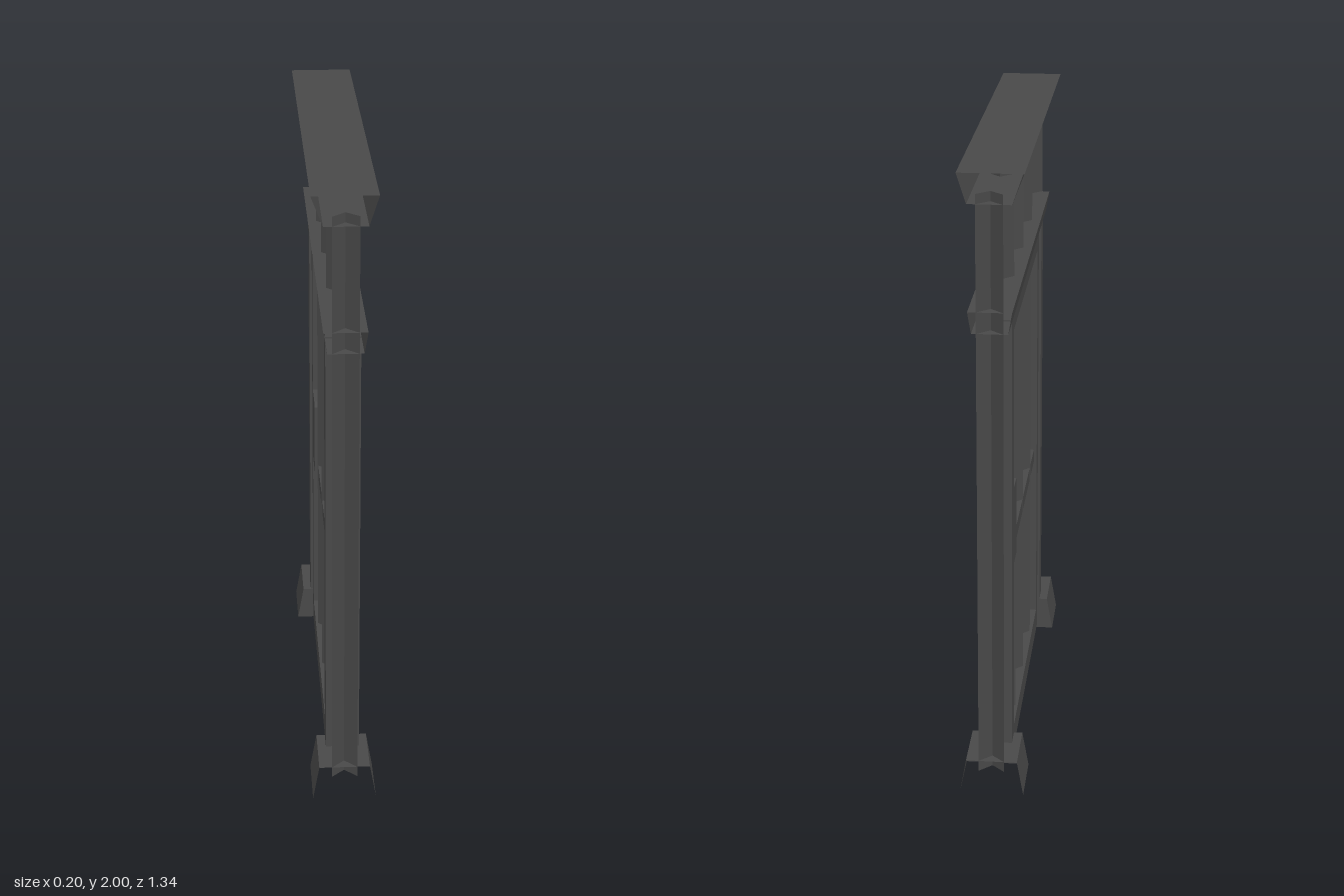
import * as THREE from 'three';

const iron = new THREE.MeshStandardMaterial({ color: 0x494949, side: THREE.DoubleSide });
iron.name = 'dark iron';

// Sweeps an [x, y] profile along z from a to b, leaving the ends open
function sweep(profile, a, b, closed = false) {
  const pos = [];
  const count = closed ? profile.length : profile.length - 1;
  for (let i = 0; i < count; i++) {
    const p = profile[i], q = profile[(i + 1) % profile.length];
    pos.push(...p, a, ...q, a, ...q, b, ...p, a, ...q, b, ...p, b);
  }
  const geo = new THREE.BufferGeometry();
  geo.setAttribute('position', new THREE.Float32BufferAttribute(pos, 3));
  geo.computeVertexNormals();
  return geo;
}

const outline = (pts) => new THREE.Shape(pts.map(([x, y]) => new THREE.Vector2(x, y)));

// Plate drawn in the door plane (drawing x = -z), centred on x = 0
function plate(shape, depth) {
  return new THREE.ExtrudeGeometry(shape, { depth, bevelEnabled: false })
    .translate(0, 0, -depth / 2).rotateY(Math.PI / 2);
}

export function createModel() {
  const group = new THREE.Group();
  const add = (name, geo) => {
    const mesh = new THREE.Mesh(geo, iron);
    mesh.name = name;
    group.add(mesh);
    return mesh;
  };
  const box = (name, w, y0, y1, z0, z1) =>
    add(name, new THREE.BoxGeometry(w, y1 - y0, z1 - z0))
      .position.set(0, (y0 + y1) / 2, (z0 + z1) / 2);

  // Hollow horizontal beams, wider at the top
  add('topBeam', sweep([[-0.065, 1.91], [0.065, 1.91], [0.094, 2], [-0.1, 2]], -0.67, 0.67, true));
  add('middleBeam', sweep([[-0.054, 1.525], [0.054, 1.525], [0.065, 1.59], [-0.065, 1.59]], -0.67, 0.67, true));

  for (const s of [1, -1]) {
    // Half-diamond outer post with its ridge facing inwards
    const post = sweep([[0.04, -0.67], [0, -0.633], [-0.04, -0.67]], 0.08, 1.94).rotateX(-Math.PI / 2);
    if (s < 0) post.rotateY(Math.PI);
    add('outerPost', post);

    // Square jamb beside the door
    box('jamb', 0.106, 0.08, 1.53, s > 0 ? 0.485 : -0.55, s > 0 ? 0.55 : -0.485);

    // Flared foot, open below and at the outer end
    const profile = [[0.1, 0], [0.08, 0.115], [-0.08, 0.115], [-0.1, 0]];
    add('foot', s > 0 ? sweep(profile, 0.483, 0.67) : sweep(profile, -0.67, -0.483));
    const cap = new THREE.ShapeGeometry(outline(profile));
    if (s > 0) cap.rotateY(Math.PI);
    add('footInnerFace', cap.translate(0, 0, s * 0.483));
  }

  // Door frame
  const frame = outline([[-0.48, 0.015], [0.476, 0.015], [0.476, 1.525], [-0.48, 1.525]]);
  frame.holes.push(outline([[-0.432, 0.095], [-0.432, 1.45], [0.432, 1.45], [0.432, 0.095]]));
  add('doorFrame', plate(frame, 0.09));
  box('crossRail', 0.07, 0.675, 0.72, -0.44, 0.44);

  // Lock plate with a clipped corner
  add('lockPlate', plate(outline([
    [0.312, 0.675], [0.435, 0.675], [0.435, 0.933], [0.327, 0.933], [0.312, 0.918],
  ]), 0.09));

  // Four-sided bars set edge-on, slightly out of plumb
  const bar = (name, y0, y1, z0, z1) => {
    const h = y1 - y0;
    const geo = new THREE.CylinderGeometry(0.037, 0.037, h, 4).toNonIndexed();
    geo.computeVertexNormals();
    const mesh = add(name, geo);
    mesh.position.set(0, (y0 + y1) / 2, (z0 + z1) / 2);
    mesh.rotation.x = Math.atan2(z1 - z0, h);
  };
  for (const [z0, z1] of [[0.267, 0.27], [0.003, -0.01], [-0.27, -0.267]]) bar('doorBar', 0.06, 1.48, z0, z1);
  for (const [z0, z1] of [[0.306, 0.308], [-0.012, 0.002], [-0.31, -0.325]]) bar('upperBar', 1.56, 1.93, z0, z1);

  return group;
}
